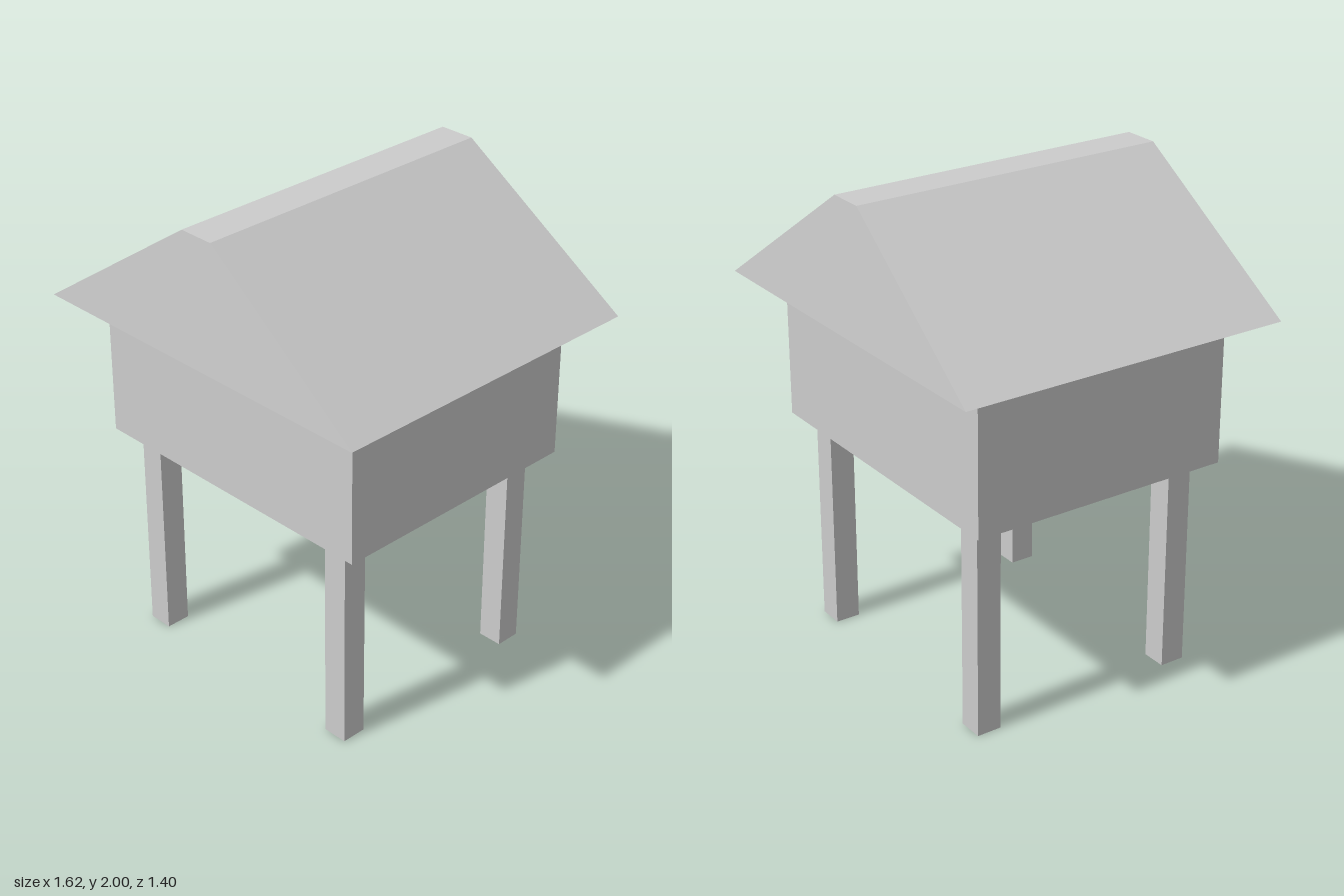
import * as THREE from 'three';

export function createModel() {
  const model = new THREE.Group();
  const grey = new THREE.MeshStandardMaterial({ color: 0xcccccc });
  grey.name = 'plain grey';

  const addBox = (name, w, h, d, x, y, z) => {
    const mesh = new THREE.Mesh(new THREE.BoxGeometry(w, h, d), grey);
    mesh.name = name;
    mesh.position.set(x, y + h / 2, z);
    model.add(mesh);
    return mesh;
  };

  // Four square stilts under the corners
  for (const [side, sx] of [['Left', 1], ['Right', -1]]) {
    for (const [end, sz] of [['front', 1], ['back', -1]]) {
      addBox(`${end}${side}Leg`, 0.104, 0.895, 0.104, sx * 0.518, 0, sz * 0.444);
    }
  }

  // Raised cabin
  addBox('cabin', 1.33, 0.595, 1.11, 0, 0.895, 0);

  // Overhanging roof: a box drawn in at the top to a narrow flat ridge
  const roof = addBox('roof', 1.62, 0.51, 1.404, 0, 1.49, 0);
  const pos = roof.geometry.attributes.position;
  for (let i = 0; i < pos.count; i++) {
    if (pos.getY(i) > 0) {
      pos.setX(i, Math.sign(pos.getX(i)) * 0.075);
      pos.setZ(i, Math.sign(pos.getZ(i)) * 0.666);
    }
  }
  // Each face keeps its own corners, so the edges stay sharp
  roof.geometry.computeVertexNormals();

  return model;
}
